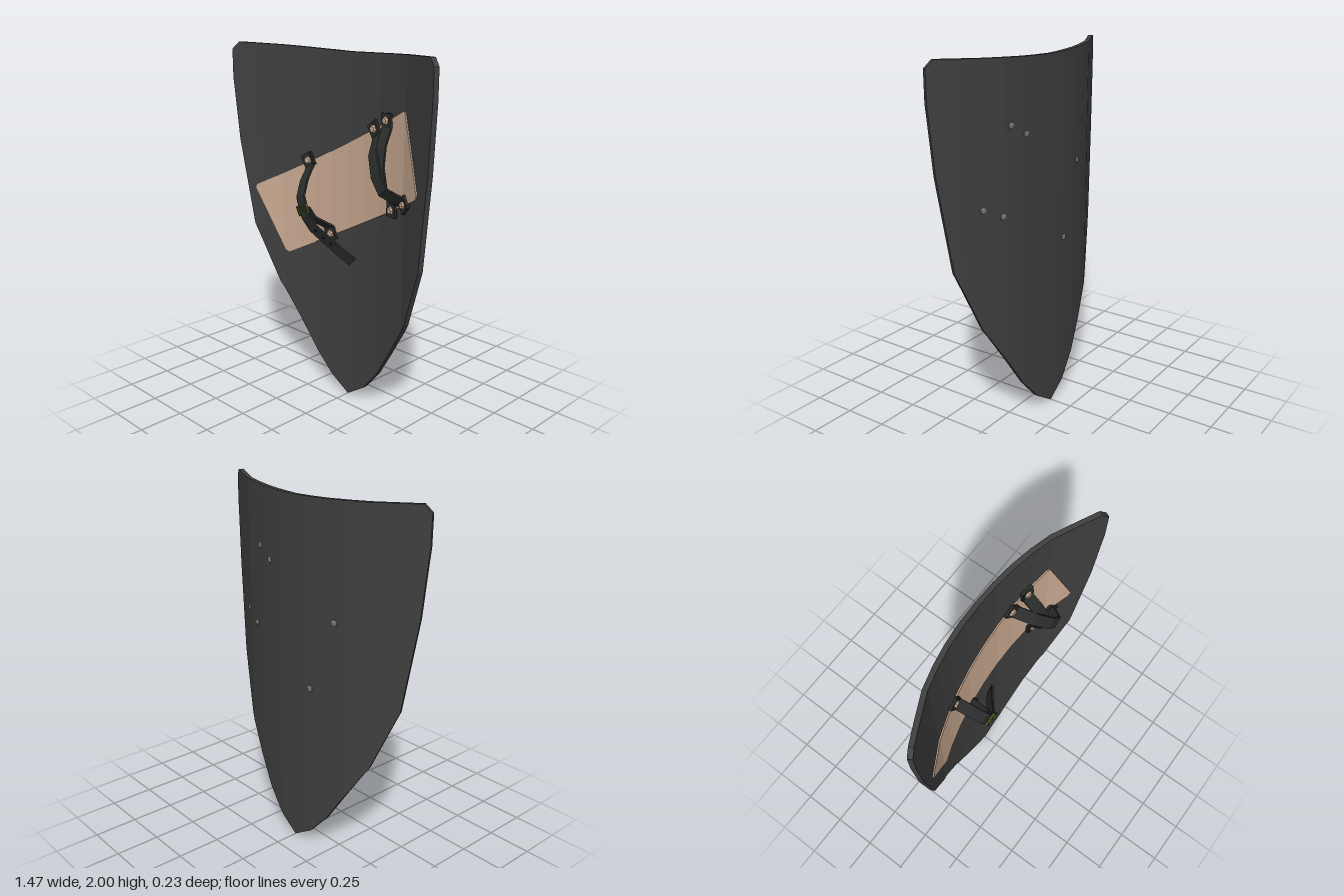
import * as THREE from 'three';

const mat = (name, color, flat = true) => {
  const m = new THREE.MeshStandardMaterial({ color });
  m.name = name;
  m.flatShading = flat;
  return m;
};

// linear lookup along a polyline sorted by x
function lerpLine(line, x) {
  for (let i = 1; i < line.length; i++) {
    const [x0, y0] = line[i - 1], [x1, y1] = line[i];
    if (x <= x1 + 1e-6) return y0 + (y1 - y0) * (x - x0) / (x1 - x0);
  }
  return line[line.length - 1][1];
}
const mirror = (half) => [...half.filter((p) => p[0] > 0).map(([x, y]) => [-x, y]).reverse(), ...half];

// depth of the bent board across its width
const BEND = mirror([[0, -0.103], [0.12, -0.099], [0.24, -0.085], [0.35, -0.063], [0.46, -0.032], [0.59, 0.03], [0.73, 0.1]]);
const bendZ = (x) => lerpLine(BEND, x);
const bendNormal = (x) => {
  const a = Math.max(x - 0.06, -0.73), b = Math.min(x + 0.06, 0.73);
  return new THREE.Vector3(-(bendZ(b) - bendZ(a)) / (b - a), 0, 1).normalize();
};
const onBoard = (x, y, off) => new THREE.Vector3(x, y, bendZ(x)).addScaledVector(bendNormal(x), off);

function quadGeometry(quads) {
  const pos = [];
  for (const [a, b, c, d] of quads) for (const v of [a, b, c, a, c, d]) pos.push(v.x, v.y, v.z);
  const g = new THREE.BufferGeometry();
  g.setAttribute('position', new THREE.Float32BufferAttribute(pos, 3));
  g.computeVertexNormals();
  return g;
}

// slab between a lower and an upper outline, following the bend
function bentSlab(lower, upper, back, front) {
  const xMin = lower[0][0], xMax = lower[lower.length - 1][0];
  const xs = [...lower, ...upper, ...BEND].map((p) => p[0])
    .filter((x) => x >= xMin && x <= xMax).sort((a, b) => a - b)
    .filter((x, i, all) => i === 0 || x - all[i - 1] > 1e-4);
  const cols = xs.map((x) => {
    const lo = lerpLine(lower, x), hi = lerpLine(upper, x);
    return { fl: onBoard(x, lo, front), fh: onBoard(x, hi, front), bl: onBoard(x, lo, back), bh: onBoard(x, hi, back) };
  });
  const quads = [];
  for (let i = 1; i < cols.length; i++) {
    const p = cols[i - 1], q = cols[i];
    quads.push([p.fl, q.fl, q.fh, p.fh], [q.bl, p.bl, p.bh, q.bh],
      [p.bl, q.bl, q.fl, p.fl], [p.fh, q.fh, q.bh, p.bh]);
  }
  const s = cols[0], e = cols[cols.length - 1];
  quads.push([s.bl, s.fl, s.fh, s.bh], [e.fl, e.bl, e.bh, e.fh]);
  return quadGeometry(quads);
}

// flat band swept along a path that runs down the shield
function strapGeometry(path, width, thick) {
  const rings = path.map((p, i) => {
    const t = path[Math.min(i + 1, path.length - 1)].clone().sub(path[Math.max(i - 1, 0)]).normalize();
    const w = new THREE.Vector3(-t.y, t.x, 0).normalize();
    const n = t.clone().cross(w).normalize().multiplyScalar(thick / 2);
    w.multiplyScalar(width / 2);
    return [[1, 1], [-1, 1], [-1, -1], [1, -1]].map(([u, v]) =>
      p.clone().addScaledVector(w, u).addScaledVector(n, v));
  });
  const quads = [[...rings[0]].reverse(), rings[rings.length - 1]];
  for (let i = 1; i < rings.length; i++) {
    for (let k = 0; k < 4; k++) {
      const j = (k + 1) % 4;
      quads.push([rings[i - 1][k], rings[i - 1][j], rings[i][j], rings[i][k]]);
    }
  }
  return quadGeometry(quads);
}

export function createModel() {
  const model = new THREE.Group();
  model.name = 'shield';
  const board = mat('board charcoal', 0x404040);
  const tan = mat('pad tan', 0xcbab92);
  const black = mat('strap black', 0x2b2d2d);
  const steel = mat('rivet steel', 0x777777);
  const green = mat('buckle green', 0x465421);
  const holeMat = mat('hole black', 0x141414);
  const add = (name, geo, material, parent = model) => {
    const m = new THREE.Mesh(geo, material);
    m.name = name;
    parent.add(m);
    return m;
  };

  // curved board
  const lower = mirror([[0, 0], [0.125, 0.08], [0.24, 0.21], [0.49, 0.6], [0.63, 0.95], [0.7, 1.45], [0.722, 1.74], [0.727, 1.8]]);
  const upper = mirror([[0, 1.975], [0.2, 1.98], [0.45, 1.99], [0.69, 2], [0.727, 1.96]]);
  add('board', bentSlab(lower, upper, -0.013, 0.013), board);

  // slanted arm pad with clipped corners
  add('armPad', bentSlab(
    [[-0.615, 1.165], [-0.45, 0.805], [-0.425, 0.797], [0.585, 1.305], [0.6, 1.33]],
    [[-0.615, 1.18], [-0.6, 1.195], [0.445, 1.718], [0.462, 1.712], [0.6, 1.33]], 0.01, 0.02), tan);

  // straps: points are x, y and z, or x, y lying on the board when z is left out
  const strap = (name, pts) => add(name, strapGeometry(
    pts.map(([x, y, z]) => (z === undefined ? onBoard(x, y, 0.026) : new THREE.Vector3(x, y, z))), 0.064, 0.012), black);
  strap('buckleStrapUpper', [[-0.3, 1.4], [-0.266, 1.335], [-0.235, 1.27, 0.02], [-0.205, 1.19, 0.078], [-0.165, 1.1, 0.085]]);
  strap('buckleStrapLower', [[-0.175, 1.13, 0.07], [-0.155, 1.07, 0.04], [-0.135, 1.0], [-0.11, 0.93]]);
  strap('buckleStrapEnd', [[-0.18, 1.14, 0.088], [-0.155, 1.08, 0.082], [-0.125, 1.02, 0.058], [-0.04, 0.92, -0.012], [0.045, 0.83, -0.075]]);
  strap('gripStrapFront', [[0.192, 1.625], [0.235, 1.565], [0.285, 1.495, 0.03], [0.355, 1.4, 0.085], [0.41, 1.325, 0.09], [0.45, 1.285, 0.035], [0.475, 1.262], [0.51, 1.235]]);
  strap('gripStrapBack', [[0.312, 1.69], [0.317, 1.62], [0.327, 1.53, 0.015], [0.345, 1.43, 0.048], [0.36, 1.33, 0.042], [0.37, 1.25], [0.37, 1.168]]);

  // rivets through the board, with square strap ends
  const zAxis = new THREE.Vector3(0, 0, 1);
  const tabGeo = new THREE.BoxGeometry(0.074, 0.074, 0.014);
  const headGeo = new THREE.CylinderGeometry(0.016, 0.023, 0.012, 8).rotateX(Math.PI / 2);
  const domeGeo = new THREE.SphereGeometry(0.02, 8, 3, 0, Math.PI * 2, 0, Math.PI / 2).scale(1, 0.6, 1).rotateX(-Math.PI / 2);
  const rivets = [[-0.28, 1.365, 0.45], [-0.122, 0.962, 0.35], [0.213, 1.598, 0.62], [0.315, 1.655, 0.08], [0.37, 1.2, 0], [0.482, 1.255, 0.75]];
  for (const [x, y, turn] of rivets) {
    const face = new THREE.Quaternion().setFromUnitVectors(zAxis, bendNormal(x));
    const parts = [['strapTab', tabGeo, black, 0.027], ['rivetHead', headGeo, tan, 0.039], ['rivetBack', domeGeo, steel, -0.012]];
    for (const [name, geo, material, off] of parts) {
      const m = add(name, geo, material);
      m.position.copy(onBoard(x, y, off));
      m.quaternion.copy(face);
      m.rotateZ(turn);
    }
  }

  // buckle frame
  const buckle = new THREE.Group();
  buckle.name = 'buckle';
  for (const s of [-1, 1]) {
    add('buckleSide', new THREE.BoxGeometry(0.008, 0.055, 0.014), green, buckle).position.x = s * 0.037;
    add('buckleBar', new THREE.BoxGeometry(0.08, 0.008, 0.012), green, buckle).position.y = s * 0.025;
  }
  add('bucklePin', new THREE.BoxGeometry(0.008, 0.05, 0.008), green, buckle);
  buckle.position.set(-0.17, 1.125, 0.095);
  buckle.rotation.set(0.05, 0, 0.42);
  model.add(buckle);

  // holes in the loose strap end
  const holeGeo = new THREE.CylinderGeometry(0.009, 0.009, 0.004, 8).rotateX(Math.PI / 2);
  const slope = new THREE.Quaternion().setFromUnitVectors(zAxis, new THREE.Vector3(0.32, -0.38, 0.87).normalize().negate().set(0.31, -0.36, 0.88).normalize());
  for (const k of [0.12, 0.5, 0.88]) {
    const h = add('strapHole', holeGeo, holeMat);
    h.position.set(-0.125 + 0.085 * k, 1.02 - 0.1 * k, 0.058 - 0.07 * k).add(new THREE.Vector3(0.31, -0.36, 0.88).multiplyScalar(0.006));
    h.quaternion.copy(slope);
  }
  return model;
}
